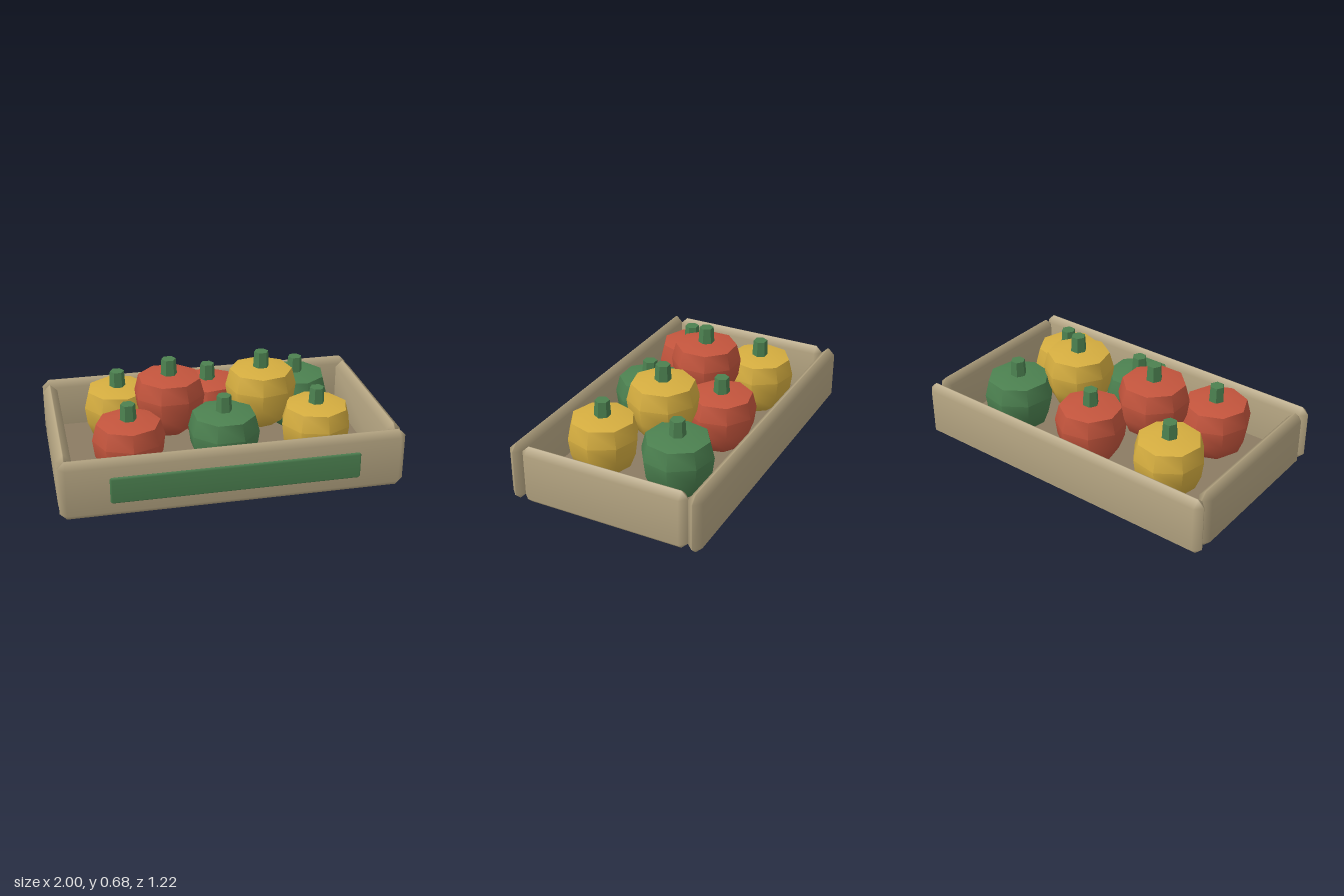
import * as THREE from 'three';
import { mergeVertices, toCreasedNormals } from 'three/addons/utils/BufferGeometryUtils.js';
import { ConvexGeometry } from 'three/addons/geometries/ConvexGeometry.js';

const material = (name, color) => {
  const m = new THREE.MeshStandardMaterial({ color });
  m.name = name;
  return m;
};

// Box with every edge cut by one bevel, softly shaded
function bevelBox(w, h, d, b) {
  const pts = [];
  for (const x of [-1, 1]) for (const y of [-1, 1]) for (const z of [-1, 1]) {
    for (let axis = 0; axis < 3; axis++) {
      const inset = [b, b, b];
      inset[axis] = 0;
      pts.push(new THREE.Vector3(
        x * (w / 2 - inset[0]), y * (h / 2 - inset[1]), z * (d / 2 - inset[2])));
    }
  }
  let geo = new ConvexGeometry(pts);
  geo.deleteAttribute('normal');
  geo = mergeVertices(geo, 1e-4);
  geo.computeVertexNormals();
  return geo;
}

export function createModel() {
  const wood = material('pale wood', 0xb5a582);
  const floorWood = material('dark wood', 0x8b7b63);
  const red = material('red', 0xc4553d);
  const yellow = material('yellow', 0xd6ae40);
  const green = material('green', 0x4c8150);

  const model = new THREE.Group();
  model.name = 'vegetableCrate';

  const add = (name, geo, mat, x, y, z, parent = model) => {
    const mesh = new THREE.Mesh(geo, mat);
    mesh.name = name;
    mesh.position.set(x, y, z);
    parent.add(mesh);
    return mesh;
  };

  // Crate boards
  const midZ = -0.01;
  const longBoard = bevelBox(2, 0.36, 0.086, 0.04);
  const shortBoard = bevelBox(0.086, 0.36, 1.03, 0.04);
  add('frontBoard', longBoard, wood, 0, 0.18, midZ + 0.557);
  add('backBoard', longBoard, wood, 0, 0.18, midZ - 0.557);
  add('leftBoard', shortBoard, wood, 0.957, 0.18, midZ);
  add('rightBoard', shortBoard, wood, -0.957, 0.18, midZ);
  add('floor', new THREE.BoxGeometry(1.83, 0.06, 1.03), floorWood, 0, 0.031, midZ);

  // Blank label on the front
  add('frontLabel', bevelBox(1.44, 0.16, 0.025, 0.011), green, 0, 0.182, 0.6);

  // Eight-sided pepper with a six-sided stem
  const profile = [
    [0, 0.012], [0.09, 0], [0.165, 0.06], [0.2, 0.15], [0.213, 0.25], [0.187, 0.35], [0.08, 0.37], [0, 0.362],
  ].map(([r, y]) => new THREE.Vector2(r, y));
  const bodyGeo = toCreasedNormals(new THREE.LatheGeometry(profile, 8), 0.85);
  const stemGeo = toCreasedNormals(new THREE.CylinderGeometry(0.043, 0.05, 0.12, 6), 0.5);
  stemGeo.rotateY(Math.PI / 6);

  const low = 0.058, high = 0.213;
  const peppers = [
    // colour, x, bottom y, z, turn
    [red, -0.56, low, 0.225, 0],
    [green, 0, low, 0.225, 0.4],
    [yellow, 0.56, low, 0.225, 0.1],
    [yellow, -0.56, low, -0.255, 0.19],
    [red, 0, low, -0.255, -0.19],
    [green, 0.56, low, -0.255, 0.19],
    [red, -0.28, high, -0.015, 0.4],
    [yellow, 0.28, high, -0.015, -0.17],
  ];
  for (const [mat, x, y, z, turn] of peppers) {
    const pepper = new THREE.Group();
    pepper.name = 'pepper';
    pepper.position.set(x, y, z);
    add('pepperBody', bodyGeo, mat, 0, 0, 0, pepper).rotation.y = turn;
    add('pepperStem', stemGeo, green, 0, 0.402, 0, pepper);
    model.add(pepper);
  }

  return model;
}
